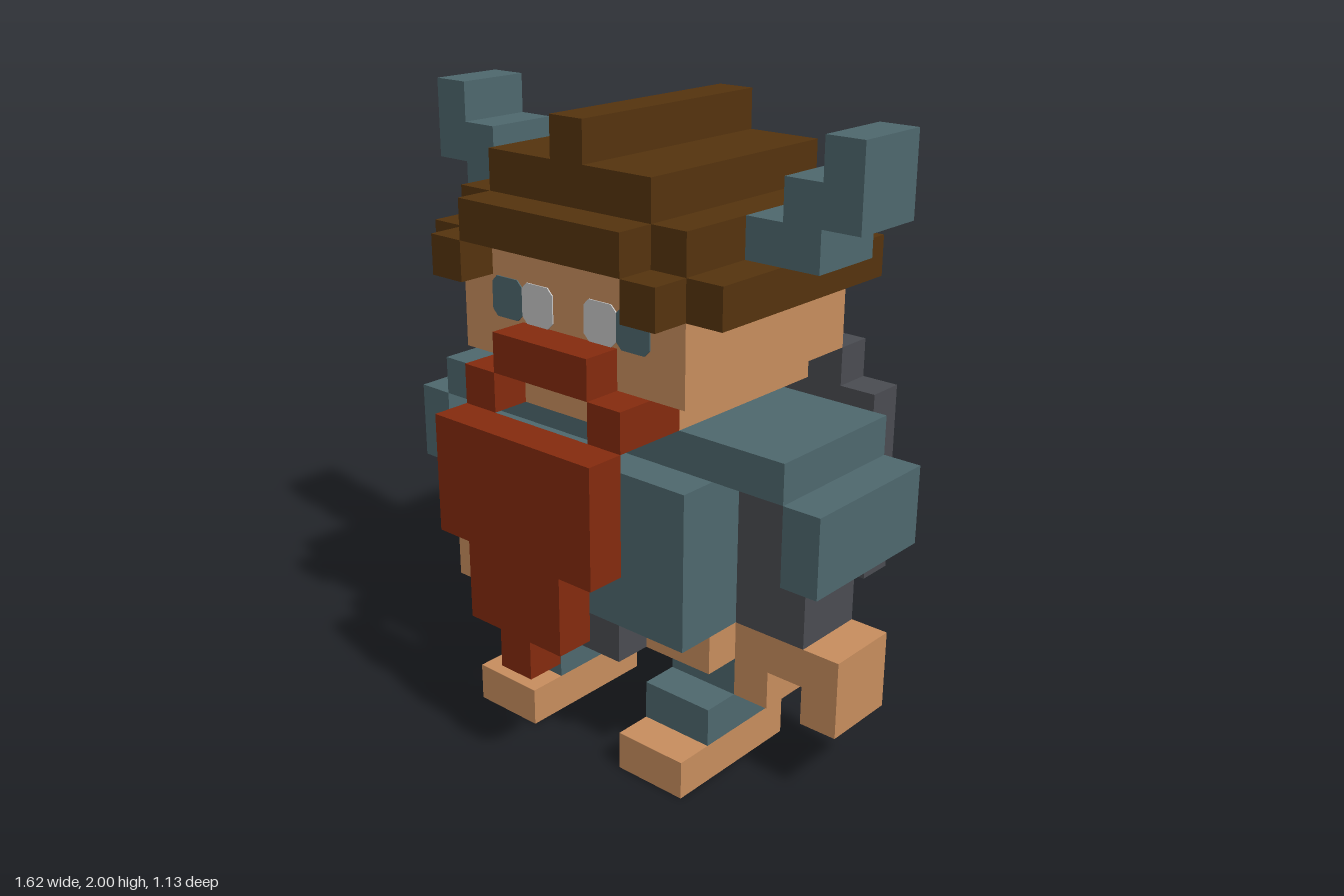
import * as THREE from 'three';

const U = 0.125; // edge of one block

const material = (name, color) => {
  const m = new THREE.MeshStandardMaterial({ color });
  m.name = name;
  return m;
};

export function createModel() {
  const skin = material('skin', 0xca8f5f);
  const teal = material('teal', 0x4f696f);
  const brown = material('brown', 0x56340e);
  const red = material('red', 0x862b0e);
  const grey = material('grey', 0x4b4d52);
  const white = material('white', 0xc9c9c9);
  const model = new THREE.Group();
  model.name = 'hornedWarrior';

  // Box between two corners, measured in blocks
  const box = (name, mat, x0, x1, y0, y1, z0, z1) => {
    const geo = new THREE.BoxGeometry((x1 - x0) * U, (y1 - y0) * U, (z1 - z0) * U);
    geo.translate((x0 + x1) / 2 * U, (y0 + y1) / 2 * U, (z0 + z1) / 2 * U);
    const mesh = new THREE.Mesh(geo, mat);
    mesh.name = name;
    model.add(mesh);
  };
  // Same box on both sides of the body
  const pair = (name, mat, x0, x1, ...rest) => {
    box(name + 'Left', mat, x0, x1, ...rest);
    box(name + 'Right', mat, -x1, -x0, ...rest);
  };
  // Box centred on x = 0
  const mid = (name, mat, half, ...rest) => box(name, mat, -half, half, ...rest);

  // Thin one-block plate with clipped corners, facing front or back
  const h = U / 2, c = U * 0.16;
  const plateShape = new THREE.Shape([
    [-h + c, -h], [h - c, -h], [h, -h + c], [h, h - c],
    [h - c, h], [-h + c, h], [-h, h - c], [-h, -h + c],
  ].map(([x, y]) => new THREE.Vector2(x, y)));
  const plateGeo = new THREE.ExtrudeGeometry(plateShape, { depth: 0.004, bevelEnabled: false });
  const plate = (name, mat, x, y, z, back = false) => {
    const mesh = new THREE.Mesh(plateGeo, mat);
    mesh.name = name;
    mesh.position.set(x * U, y * U, z * U);
    if (back) mesh.rotation.y = Math.PI;
    model.add(mesh);
  };

  // Legs
  pair('foot', skin, 1.5, 3.5, 0, 1, -1.5, 2.5);
  pair('bootCuff', teal, 1.5, 3.5, 1, 2, -1.5, 1.5);
  pair('shin', teal, 1.5, 3.5, 2, 3, -1.5, 0.5);
  pair('thigh', skin, 1.5, 3.5, 3, 4, -1.5, 1.5);

  // Body
  mid('loincloth', grey, 1.5, 3, 4, 1.5, 2.5);
  mid('torso', teal, 3.5, 4, 8, -3.5, 2.5);
  mid('shoulders', teal, 5.5, 8, 9, -2.5, 1.5);

  // Arms
  pair('shoulderFlap', teal, 5.5, 6.5, 6, 8, -2.5, 1.5);
  pair('arm', grey, 3.5, 5.5, 4, 8, -1.5, 0.5);
  pair('hand', skin, 3.5, 6.5, 3, 4, -1.5, 0.5);
  pair('thumb', skin, 3.5, 4.5, 2, 3, -1.5, 0.5);
  pair('fingers', skin, 5.5, 6.5, 2, 3, -1.5, 0.5);

  // Head
  mid('chin', skin, 2.5, 9, 10, -3.5, 1.5);
  mid('mouth', skin, 1.5, 9, 10, 1.5, 2.5);
  mid('head', skin, 3.5, 10, 13, -3.5, 2.5);
  for (const s of [-1, 1]) {
    plate('eyeWhite', white, s, 11.5, 2.5);
    plate('iris', teal, s * 2, 11.5, 2.5);
  }

  // Beard
  mid('moustache', red, 1.5, 10, 11, 2.5, 3.5);
  pair('beardSide', red, 1.5, 2.5, 9, 10, 1.5, 3.5);
  mid('beardTop', red, 2.5, 6, 9, 3.5, 4.5);
  mid('beardMiddle', red, 1.5, 4, 6, 3.5, 4.5);
  mid('beardTip', red, 0.5, 3, 4, 3.5, 4.5);

  // Helmet
  pair('helmetSideRim', brown, 3.5, 4.5, 12, 13, -3.5, 2.5);
  pair('helmetFrontCorner', brown, 2.5, 3.5, 12, 13, 2.5, 3.5);
  pair('helmetBackCorner', brown, 2.5, 3.5, 12, 13, -4.5, -3.5);
  mid('helmetBand', brown, 3.5, 13, 14, -3.5, 2.5);
  mid('helmetFrontRim', brown, 2.5, 13, 14, 2.5, 3.5);
  mid('helmetBackRim', brown, 2.5, 13, 14, -4.5, -3.5);
  mid('helmetDome', brown, 2.5, 14, 15, -3.5, 2.5);
  mid('helmetRidge', brown, 0.5, 15, 16, -3.5, 2.5);

  // Horns
  pair('hornBase', teal, 3.5, 5.5, 13, 14, -1.5, 0.5);
  pair('hornMiddle', teal, 4.5, 6.5, 14, 15, -1.5, 0.5);
  pair('hornTip', teal, 5.5, 6.5, 15, 16, -1.5, 0.5);

  // Round shield on the back: half width and height range of each step
  for (const [half, y0, y1] of [[2.5, 2, 3], [3.5, 3, 4], [4.5, 4, 9], [3.5, 9, 10], [2.5, 10, 11]])
    mid('shield', grey, half, y0, y1, -4.5, -3.5);
  for (const [x, y] of [[0, 0], [3, 0], [-3, 0], [0, 3], [0, -3]])
    plate('shieldStud', white, x, 6.5 + y, -4.5, true);

  return model;
}
